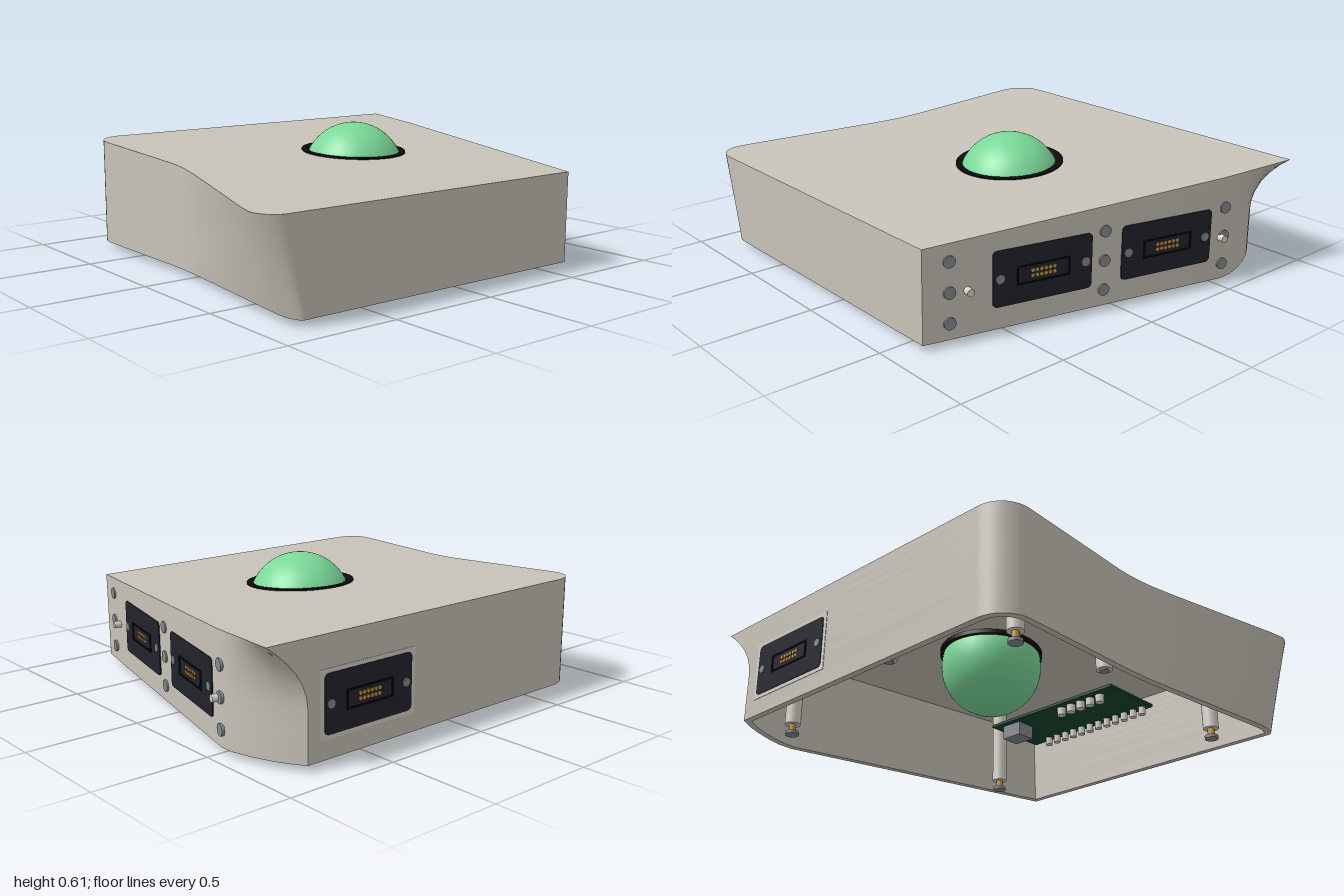
import * as THREE from 'three';
import { toCreasedNormals } from 'three/addons/utils/BufferGeometryUtils.js';

const mat = (name, color, extra = {}) => {
  const m = new THREE.MeshStandardMaterial({ color, ...extra });
  m.name = name;
  return m;
};

export function createModel() {
  const M = {
    body: mat('warm grey shell', 0xc8c3b8, { side: THREE.DoubleSide }),
    ball: mat('green ball', 0x7ad898),
    black: mat('black ring', 0x0c0c10, { side: THREE.DoubleSide }),
    plate: mat('dark connector', 0x22222c),
    gold: mat('gold contact', 0xc8963a),
    steel: mat('steel', 0x85898c),
    pale: mat('pale plastic', 0xd6d2c8),
    board: mat('green board', 0x17452f),
  };
  const root = new THREE.Group();
  const add = (parent, name, geo, material, x = 0, y = 0, z = 0) => {
    const m = new THREE.Mesh(geo, material);
    m.name = name;
    m.position.set(x, y, z);
    parent.add(m);
    return m;
  };
  const cyl = (r, h, n = 24) => new THREE.CylinderGeometry(r, r, h, n);
  const rod = (r, h, n = 20) => cyl(r, h, n).rotateX(Math.PI / 2);
  const topY = (z) => 0.4725 - 0.0489 * z;
  const tilt = Math.atan(0.0489);

  // Outline pairs: [top x, top z, bottom x, bottom z, flared?]
  const pts = [
    [0.61, 0.87, 0.605, 0.87], [0.775, 0.18, 0.772, 0.18], [0.94, -0.51, 0.938, -0.51],
    [0.953, -0.59, 0.936, -0.58, 1], [0.966, -0.67, 0.915, -0.66, 1],
    [0.978, -0.74, 0.885, -0.74, 1], [0.99, -0.81, 0.85, -0.81, 1], [1.0, -0.87, 0.81, -0.87, 1],
  ];
  // left side: overhang narrows toward the base
  const left = (x, z) => pts.push([x, z, x < -0.78 ? -0.78 + (x + 0.78) * 0.38 : x, z]);
  for (let i = 0; i <= 10; i++) {
    const a = Math.PI / 2 + (i / 10) * Math.PI / 2;
    left(-0.64 + 0.14 * Math.cos(a), -0.73 - 0.14 * Math.sin(a));
  }
  [[-0.78, -0.4], [-0.78, -0.16], [-0.783, -0.1], [-0.79, -0.04], [-0.803, 0.03],
    [-0.825, 0.12], [-0.91, 0.43], [-0.985, 0.7]].forEach(([x, z]) => left(x, z));
  for (let i = 0; i <= 8; i++) {
    const a = Math.PI + (i / 8) * Math.PI / 2;
    left(-0.9 + 0.1 * Math.cos(a), 0.77 - 0.1 * Math.sin(a));
  }

  const section = (t, inset, lid) => {
    const ring = pts.map(([xt, zt, xb, zb, flared]) => {
      const g = flared ? Math.max(0, (t - 0.45) / 0.55) ** 2 : t;
      return new THREE.Vector2(xb + (xt - xb) * g, zb + (zt - zb) * g);
    });
    return ring.map((p, i) => {
      const a = ring[(i + ring.length - 1) % ring.length], b = ring[(i + 1) % ring.length];
      const u = p.clone().sub(a).normalize(), v = b.clone().sub(p).normalize();
      const n = new THREE.Vector2(u.y + v.y, -u.x - v.x).normalize();
      const k = inset / Math.max(0.6, n.x * u.y - n.y * u.x);
      const x = p.x + n.x * k, z = p.y + n.y * k;
      return [x, 0.028 + (topY(z) - lid - 0.028) * t, z];
    });
  };

  // Shell: outside rings, then inside rings, closed by the lid and its ceiling
  const levels = [0, 0.3, 0.45, 0.55, 0.65, 0.75, 0.83, 0.92, 1];
  const rings = [
    ...levels.slice().reverse().map((t) => section(t, 0, 0)),
    ...levels.map((t) => section(t, 0.03, 0.03)),
  ];
  const n = pts.length, index = [];
  for (let r = 0; r < rings.length - 1; r++) {
    for (let i = 0; i < n; i++) {
      const j = (i + 1) % n, a = (r + 1) * n + i, b = (r + 1) * n + j, c = r * n + j, d = r * n + i;
      index.push(a, b, c, a, c, d);
    }
  }
  const cap = (k, flip) => {
    const contour = rings[k].map(([x, , z]) => new THREE.Vector2(x, -z));
    THREE.ShapeUtils.triangulateShape(contour, []).forEach(([a, b, c]) =>
      index.push(k * n + a, k * n + (flip ? c : b), k * n + (flip ? b : c)));
  };
  cap(0, false);
  cap(rings.length - 1, true);
  const shell = new THREE.BufferGeometry();
  shell.setAttribute('position', new THREE.Float32BufferAttribute(rings.flat(2), 3));
  shell.setIndex(index);
  add(root, 'shell', toCreasedNormals(shell, 0.5), M.body);

  // Ball with its seal above and below the lid
  add(root, 'ball', new THREE.SphereGeometry(0.235, 48, 32), M.ball, 0.115, 0.37, 0);
  const seal = new THREE.LatheGeometry([[0.2, -0.05], [0.242, -0.05], [0.242, 0.006], [0.222, 0.008], [0.2, -0.002]]
    .map(([x, y]) => new THREE.Vector2(x, y)), 56);
  add(root, 'ballSeal', toCreasedNormals(seal, 0.5), M.black, 0.115, topY(0), 0).rotation.x = tilt;

  // Connector: dark plate, shell, two rows of contacts and two screws
  const plateShape = new THREE.Shape();
  const w = 0.226, h = 0.12, r = 0.02;
  plateShape.moveTo(-w + r, -h);
  [[w, -h, 0], [w, h, 1], [-w, h, 2], [-w, -h, 3]].forEach(([x, y, q]) =>
    plateShape.absarc(x - Math.sign(x) * r, y - Math.sign(y) * r, r, (q - 1) * Math.PI / 2, q * Math.PI / 2));
  const plateGeo = new THREE.ExtrudeGeometry(plateShape, { depth: 0.008, bevelEnabled: false, curveSegments: 5 });
  const connector = (parent, name, x) => {
    const g = new THREE.Group();
    g.name = name;
    g.position.set(x, 0.245, 0);
    parent.add(g);
    add(g, 'connectorPlate', plateGeo, M.plate, 0, 0, -0.003);
    for (const s of [-1, 1]) {
      add(g, 'socketRimLong', new THREE.BoxGeometry(0.24, 0.006, 0.008), M.black, 0, s * 0.037, 0.007);
      add(g, 'socketRimShort', new THREE.BoxGeometry(0.006, 0.074, 0.008), M.black, s * 0.117, 0, 0.007);
      add(g, 'connectorScrew', rod(0.019, 0.008), M.steel, s * 0.195, 0, 0.005);
      for (let i = 0; i < 6; i++)
        add(g, 'contact', rod(0.008, 0.006, 10), M.gold, (i - 2.5) * 0.02, s * 0.011, 0.005);
    }
  };

  // Right wall fittings, in a frame lying on the wall
  const side = new THREE.Group();
  side.name = 'rightWallFittings';
  side.position.set(0.609, 0, 0.87);
  side.rotation.y = Math.atan2(1, 0.239);
  root.add(side);
  const along = (z) => (0.87 - z) / 0.9726;
  connector(side, 'frontConnector', along(0.36));
  connector(side, 'rearConnector', along(-0.22));
  for (const z of [0.76, 0.08, -0.51]) {
    for (const y of [0.1, 0.23, 0.36]) add(side, 'wallScrew', rod(0.026, 0.012), M.steel, along(z), y, 0.001);
  }
  for (const z of [0.685, -0.495]) add(side, 'locatingPeg', rod(0.016, 0.04), M.pale, along(z), 0.225, 0.012);

  // Back wall connector in its pale surround
  const back = new THREE.Group();
  back.name = 'backWallFittings';
  back.position.set(0, 0, -0.87);
  back.rotation.y = Math.PI;
  root.add(back);
  add(back, 'connectorSurround', new THREE.BoxGeometry(0.49, 0.275, 0.004), M.pale, -0.505, 0.245, 0);
  connector(back, 'backConnector', -0.505);

  // Feet screwed into tall posts
  for (const [x, z] of [[0.565, 0.54], [0.735, -0.66], [-0.64, 0.675], [-0.64, -0.66]]) {
    const top = topY(z) - 0.025;
    add(root, 'foot', cyl(0.031, 0.015), M.steel, x, 0.0075, z);
    add(root, 'footShank', cyl(0.016, 0.04), M.gold, x, 0.034, z);
    add(root, 'post', cyl(0.036, top - 0.05), M.pale, x, (top + 0.05) / 2, z);
  }

  // Ceiling stubs
  for (const [x, z] of [[-0.28, 0.36], [-0.31, -0.3], [0.45, -0.35]]) {
    add(root, 'stub', cyl(0.04, 0.08), M.pale, x, topY(z) - 0.06, z);
    add(root, 'stubScrew', cyl(0.024, 0.01), M.steel, x, topY(z) - 0.103, z);
  }

  // Circuit board hung under the lid
  const pcb = new THREE.Group();
  pcb.name = 'circuitBoard';
  pcb.position.set(0.115, 0.3, 0.585);
  root.add(pcb);
  add(pcb, 'board', new THREE.BoxGeometry(0.77, 0.014, 0.34), M.board);
  add(pcb, 'socketBox', new THREE.BoxGeometry(0.11, 0.07, 0.1), M.steel, 0.28, -0.04, -0.09);
  for (let i = 0; i < 12; i++) add(pcb, 'headerPin', cyl(0.018, 0.04, 10), M.pale, -0.34 + i * 0.055, -0.025, 0.14);
  for (let i = 0; i < 5; i++) add(pcb, 'terminal', cyl(0.022, 0.04, 12), M.pale, -0.28 + i * 0.06, -0.025, -0.12);
  return root;
}
